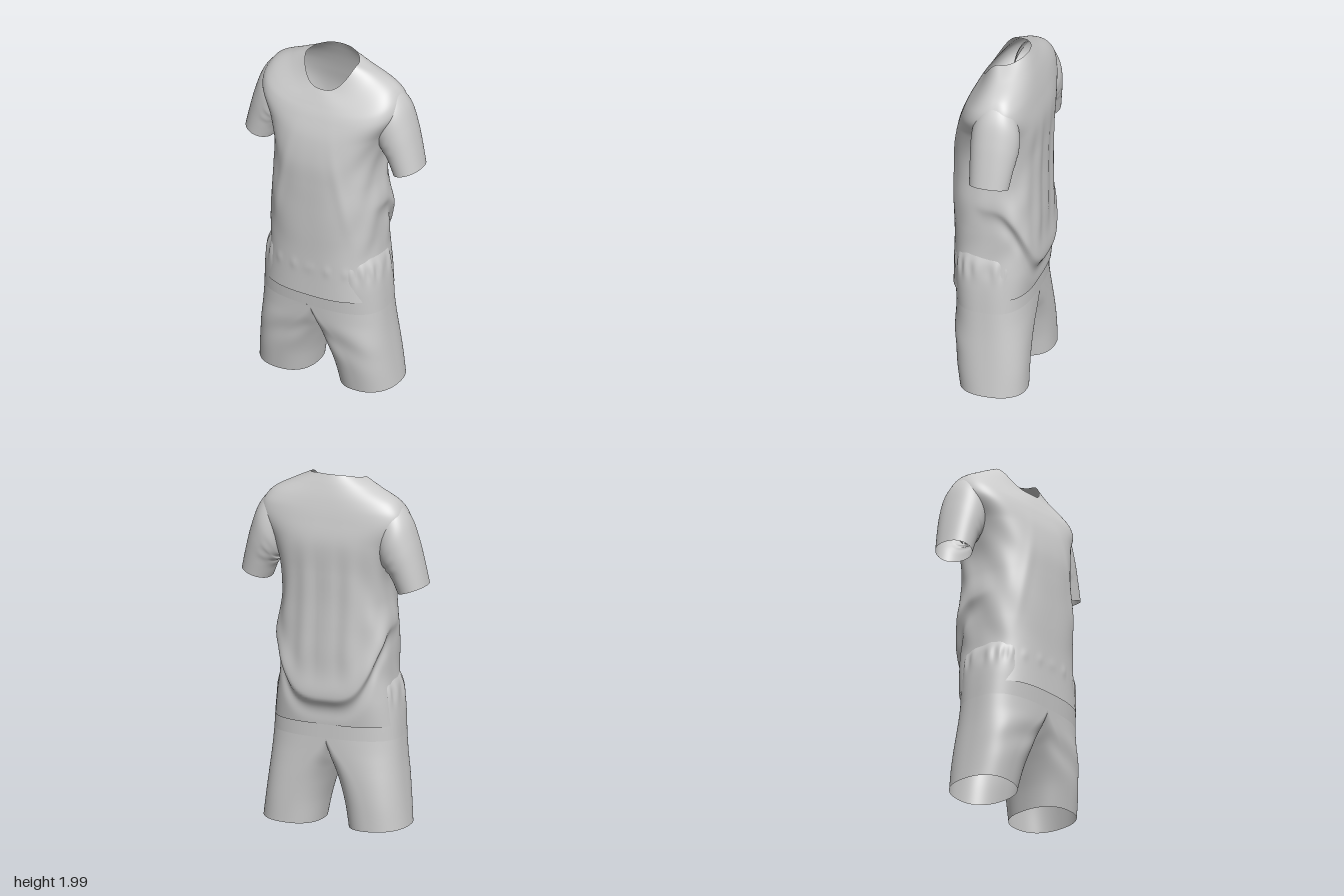
import * as THREE from 'three';

const cloth = new THREE.MeshStandardMaterial({ color: 0xcccccc, side: THREE.DoubleSide });
cloth.name = 'grey cloth';

const { smoothstep } = THREE.MathUtils;
const bell = (d, w) => Math.exp(-(d * d) / (w * w));
const spow = (v, e) => Math.sign(v) * Math.pow(Math.abs(v), e);

// Smooth interpolation of a table of section parameters, t in 0..1
function sample(rows, t) {
  const f = t * (rows.length - 1);
  const i = Math.min(Math.floor(f), rows.length - 2);
  const u = f - i;
  const at = k => rows[Math.max(0, Math.min(rows.length - 1, k))];
  return rows[0].map((_, c) => {
    const a = at(i - 1)[c], b = at(i)[c], d = at(i + 1)[c], e = at(i + 2)[c];
    return b + 0.5 * u * (d - a + u * (2 * a - 5 * b + 4 * d - e + u * (3 * (b - d) + e - a)));
  });
}

// Open tube through closed sections; place(row, cos, sin) returns [x, y, z],
// isHole(x, y, z) leaves faces out
function loft(name, rows, place, steps, segs, { side = 1, isHole = () => false } = {}) {
  const pos = [], index = [];
  for (let i = 0; i <= steps; i++) {
    const row = sample(rows, i / steps);
    for (let j = 0; j < segs; j++) {
      const a = (j / segs) * Math.PI * 2;
      const [x, y, z] = place(row, Math.cos(a), Math.sin(a));
      pos.push(x * side, y, z);
      if (i === steps || isHole(x, y, z)) continue;
      const p = i * segs + j, q = i * segs + (j + 1) % segs;
      const r = p + segs, s = q + segs;
      if (side > 0) index.push(p, r, q, q, r, s);
      else index.push(p, q, r, q, s, r);
    }
  }
  const g = new THREE.BufferGeometry();
  g.setAttribute('position', new THREE.Float32BufferAttribute(pos, 3));
  g.setIndex(index);
  g.computeVertexNormals();
  const mesh = new THREE.Mesh(g, cloth);
  mesh.name = name;
  return mesh;
}

// Shirt body: front y, side y, back y, half width, front z, back z, side z
const bodyRows = [
  [0.60, 0.60, 0.60, 0.352, 0.248, -0.212, 0.0],
  [0.72, 0.72, 0.72, 0.338, 0.247, -0.228, 0.0],
  [0.86, 0.86, 0.86, 0.320, 0.248, -0.236, 0.0],
  [1.00, 1.00, 1.00, 0.318, 0.252, -0.240, 0.0],
  [1.15, 1.15, 1.15, 0.316, 0.255, -0.238, 0.0],
  [1.30, 1.30, 1.30, 0.302, 0.256, -0.236, -0.01],
  [1.44, 1.45, 1.46, 0.305, 0.250, -0.240, -0.03],
  [1.58, 1.60, 1.63, 0.345, 0.224, -0.244, -0.05],
  [1.69, 1.745, 1.76, 0.418, 0.184, -0.222, -0.07],
  [1.76, 1.86, 1.865, 0.374, 0.150, -0.195, -0.07],
  [1.81, 1.932, 1.945, 0.252, 0.123, -0.166, -0.05],
  [1.84, 1.975, 2.0, 0.156, 0.105, -0.140, -0.02],
];
function placeBody([yf, ys, yb, w, zf, zb, zs], c, s) {
  const mid = s > 0 ? yf : yb;
  const y = mid + (ys - mid) * Math.pow(Math.abs(c), 3);
  const square = s > 0 ? 0.74 : 0.66;
  const e = square + (1 - square) * smoothstep(ys, 1.8, 1.97);
  const x = w * spow(c, e);
  const z = zs + ((s > 0 ? zf : zb) - zs) * Math.pow(Math.abs(s), e);
  const back = Math.max(0, -s), front = Math.max(0, s);
  const low = 1 - smoothstep(y, 1.4, 1.7);
  // overhanging drape that sweeps round the back and up the flanks
  const d = y - (0.755 + 0.4 * Math.pow(Math.abs(c), 2.2) + 0.15 * front);
  const fade = smoothstep(-s, -0.3, 0.5);
  let out = 0.021 * fade * bell(d, d < 0 ? 0.035 : 0.11) - 0.010 * fade * bell(d + 0.08, 0.05);
  // hanging folds on the back and soft folds on the flanks
  out += 0.004 * low * back * Math.sin(x * 48 + y * 2) * smoothstep(y, 0.8, 1.0);
  out += 0.003 * low * Math.abs(c) * Math.sin(y * 17 + s * 9) * smoothstep(y, 0.75, 0.95);
  // pull lines from the chest to the hips
  out += 0.007 * front * (bell(Math.abs(x) - 0.14 - (1.5 - y) * 0.2, 0.03) - 0.5) * bell(y - 1.25, 0.25);
  // gathers above the waist elastic
  out += 0.004 * Math.max(0, Math.sin(x * 62 + 1)) * bell(y - 0.775, 0.03) * front;
  return [x + c * out, y, z + s * out];
}
// Armholes, covered by the sleeves
const isArmhole = (x, y, z) =>
  Math.abs(x) > 0.29 && ((y - 1.59) / 0.11) ** 2 + ((z + 0.065) / 0.09) ** 2 < 1;

// Sleeve: outer x, outer y, inner x, inner y, back z, front z
const sleeveRows = [
  [0.540, 1.412, 0.380, 1.358, -0.170, 0.050],
  [0.511, 1.540, 0.345, 1.440, -0.186, 0.057],
  [0.479, 1.660, 0.318, 1.475, -0.199, 0.064],
  [0.438, 1.772, 0.295, 1.505, -0.204, 0.066],
  [0.385, 1.842, 0.280, 1.530, -0.192, 0.056],
  [0.330, 1.862, 0.270, 1.560, -0.172, 0.036],
];
function placeSleeve([ox, oy, ix, iy, zb, zf], c, s) {
  const k = (c + 1) / 2;
  const crease = 0.006 * Math.max(0, -c) * Math.sin(oy * 60) * bell(oy - 1.66, 0.12);
  return [ix + (ox - ix) * k + crease, iy + (oy - iy) * k,
    (zb + zf) / 2 + (zf - zb) / 2 * spow(s, 0.88) + crease * s];
}

// Shorts leg: outer y, middle y, inner y, inner x, middle x, outer x, front z, back z, squareness.
// The top section is half of the hips closed by the crotch seam at x = 0.
const legRows = [
  [0.025, 0.017, 0.01, 0.085, 0.250, 0.418, 0.160, -0.210, 0.86],
  [0.150, 0.150, 0.13, 0.066, 0.230, 0.403, 0.182, -0.210, 0.82],
  [0.270, 0.270, 0.24, 0.040, 0.185, 0.389, 0.200, -0.208, 0.78],
  [0.370, 0.370, 0.32, 0.018, 0.120, 0.378, 0.211, -0.206, 0.75],
  [0.450, 0.450, 0.37, 0.005, 0.050, 0.371, 0.218, -0.205, 0.73],
  [0.520, 0.520, 0.41, 0.000, 0.000, 0.366, 0.223, -0.204, 0.72],
];
function placeLeg([yo, ym, yi, xi, xm, xo, zf, zb, e], c, s) {
  const x = xm + (c > 0 ? xo - xm : xm - xi) * spow(c, e);
  const y = ym + ((c > 0 ? yo : yi) - ym) * Math.abs(c);
  const fold = 0.006 * Math.max(0, s) * Math.sin(y * 16 + c * 3.5) * bell(y - 0.31, 0.1);
  return [x, y, (zf + zb) / 2 + (zf - zb) / 2 * spow(s, e) + fold];
}

// Shorts hips: y, half width, front z, back z
const hipRows = [
  [0.52, 0.366, 0.223, -0.204],
  [0.60, 0.362, 0.229, -0.204],
  [0.67, 0.357, 0.234, -0.204],
  [0.74, 0.349, 0.236, -0.205],
  [0.81, 0.335, 0.234, -0.205],
  [0.87, 0.308, 0.222, -0.200],
];
function placeHips([y, w, zf, zb], c, s) {
  const gather = 0.005 * Math.sin(Math.atan2(s, c) * 22) * bell(y - 0.77, 0.05);
  return [w * spow(c, 0.72) + c * gather, y,
    (zf + zb) / 2 + (zf - zb) / 2 * spow(s, 0.72) + s * gather];
}

export function createModel() {
  const model = new THREE.Group();
  model.name = 'shirtAndShorts';
  model.add(loft('shirtBody', bodyRows, placeBody, 120, 160, { isHole: isArmhole }));
  model.add(loft('shortsHips', hipRows, placeHips, 30, 160));
  for (const [label, side] of [['left', 1], ['right', -1]]) {
    model.add(loft(label + 'Sleeve', sleeveRows, placeSleeve, 40, 64, { side }));
    model.add(loft(label + 'ShortsLeg', legRows, placeLeg, 40, 160, { side }));
  }
  return model;
}
